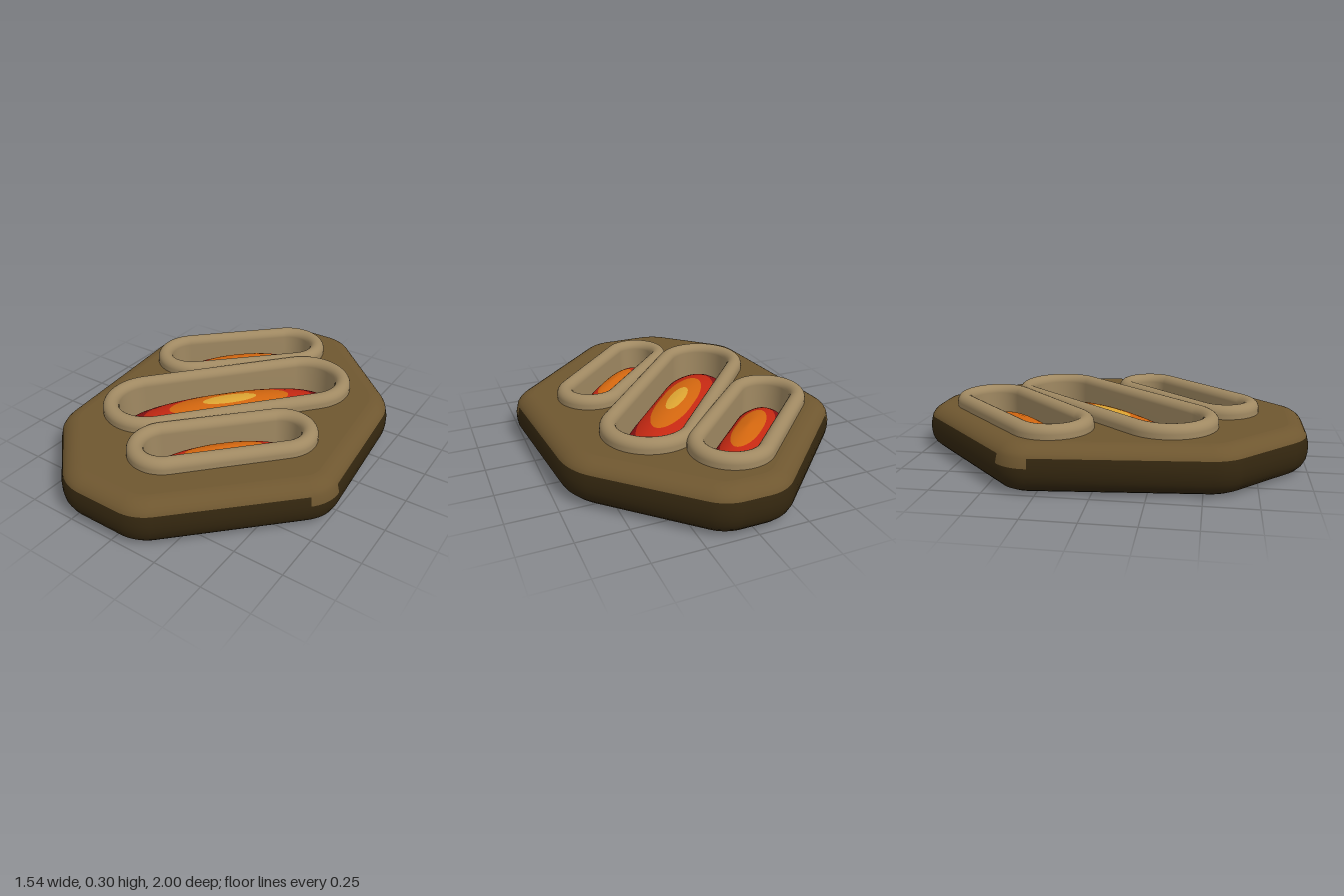
import * as THREE from 'three';

const mat = (name, color) => {
  const m = new THREE.MeshStandardMaterial({ color });
  m.name = name;
  return m;
};

// Rounded convex outline on the ground plane: arc centres, outward normals and radii
function roundedOutline(corners, segments) {
  const out = [];
  const n = corners.length;
  const normal = (a, b) => {
    const dx = b[0] - a[0], dz = b[1] - a[1], l = Math.hypot(dx, dz);
    return [dz / l, -dx / l];
  };
  corners.forEach((p, k) => {
    const n1 = normal(corners[(k + n - 1) % n], p);
    const n2 = normal(p, corners[(k + 1) % n]);
    const r = p[2];
    let a1 = Math.atan2(n1[1], n1[0]), a2 = Math.atan2(n2[1], n2[0]);
    if (a2 <= a1) a2 += Math.PI * 2;
    const s = n === 2 ? 0 : r / (1 + n1[0] * n2[0] + n1[1] * n2[1]);
    const cx = p[0] - (n1[0] + n2[0]) * s, cz = p[1] - (n1[1] + n2[1]) * s;
    for (let i = 0; i <= segments; i++) {
      const a = a1 + (a2 - a1) * i / segments;
      out.push({ cx, cz, nx: Math.cos(a), nz: Math.sin(a), r, corner: k, last: i === segments });
    }
  });
  return out;
}

// One ring of the outline, moved inward by d at height y
const ring = (outline, d, y) =>
  outline.map(o => [o.cx + o.nx * (o.r - d), y, o.cz + o.nz * (o.r - d)]);

// Skin closed rings; slot(i, j) picks the material of each face
function loft(name, rings, materials, slot = () => 0) {
  const n = rings[0].length;
  const buckets = materials.map(() => []);
  for (let i = 0; i < rings.length - 1; i++) {
    for (let j = 0; j < n; j++) {
      const k = (j + 1) % n;
      const a = i * n + j, b = i * n + k, c = b + n, d = a + n;
      buckets[slot(i, j)].push(a, d, c, a, c, b);
    }
  }
  const g = new THREE.BufferGeometry();
  g.setAttribute('position', new THREE.Float32BufferAttribute(rings.flat(2), 3));
  g.setIndex(buckets.flat());
  let start = 0;
  buckets.forEach((b, m) => {
    if (b.length) g.addGroup(start, b.length, m);
    start += b.length;
  });
  g.computeVertexNormals();
  const mesh = new THREE.Mesh(g, materials);
  mesh.name = name;
  return mesh;
}

// Flat cap from a ring, facing up or down, with optional holes
function cap(name, points, y, up, material, holes = []) {
  const to2 = pts => pts.map(p => new THREE.Vector2(p[0], up ? -p[2] : p[2]));
  const shape = new THREE.Shape(to2(points));
  holes.forEach(h => shape.holes.push(new THREE.Path(to2(h))));
  const mesh = new THREE.Mesh(new THREE.ShapeGeometry(shape), material);
  mesh.geometry.rotateX(up ? -Math.PI / 2 : Math.PI / 2);
  mesh.position.y = y;
  mesh.name = name;
  return mesh;
}

export function createModel() {
  const model = new THREE.Group();
  model.name = 'ventPlate';
  const brown = mat('brown', 0x6f5730);
  const dark = mat('darkBrown', 0x33260f);
  const tan = mat('tan', 0xa08962);
  const lava = [
    mat('darkRed', 0x4a0a0c), mat('crimson', 0x8a1213), mat('red', 0xc42812),
    mat('orange', 0xd2660f), mat('yellow', 0xdda532),
  ];

  // Plate: x, z, corner radius
  const outline = roundedOutline([
    [0.775, 0.37, 0.2], [0.14, 1, 0.23], [-0.29, 1, 0.25], [-0.68, 0.62, 0.24],
    [-0.78, -0.37, 0.2], [-0.14, -1, 0.22], [0.16, -1, 0.22], [0.7, -0.47, 0.33],
  ], 10);
  const R = 0.1, H = 0.235;
  const profile = [];
  for (const deg of [-90, -72, -54, -36, -18, 0]) {
    const a = deg * Math.PI / 180;
    profile.push([R - R * Math.cos(a), R + R * Math.sin(a)]);
  }
  for (const deg of [0, 27, 40, 52, 65, 78, 90]) {
    const a = deg * Math.PI / 180;
    profile.push([R - R * Math.cos(a), H - R + R * Math.sin(a)]);
  }
  // Dark below, brown above, the brown dipping at two opposite corners
  model.add(loft('plateSide', profile.map(([d, y]) => ring(outline, d, y)), [dark, brown], (i, j) => {
    const o = outline[j];
    const dip = i === 6 && o.corner % 4 === 0 && !o.last;
    return i > 6 || dip ? 1 : 0;
  }));

  // Vents: two end centres, inner and outer radius, colour limits from edge to middle
  const vents = [
    { name: 'backVent', a: [-0.04, -0.64], b: [-0.45, -0.235], rin: 0.125, rout: 0.206, bands: [0.93, 0.76, 0.52, 0] },
    { name: 'middleVent', a: [0.242, -0.332], b: [-0.321, 0.316], rin: 0.163, rout: 0.245, bands: [0.94, 0.8, 0.56, 0.25] },
    { name: 'frontVent', a: [0.383, 0.163], b: [-0.013, 0.579], rin: 0.1, rout: 0.183, bands: [0.93, 0.76, 0.5, 0] },
  ];
  const holes = [];
  for (const v of vents) {
    const group = new THREE.Group();
    group.name = v.name;
    const path = roundedOutline([[...v.a, 0], [...v.b, 0]], 24);
    holes.push(ring(path, -(v.rin + 0.01), 0));

    // Rounded rim running down into the slot wall
    const w = (v.rout - v.rin) / 2, mid = v.rin + w;
    const rim = [ring(path, -v.rout, 0.225)];
    for (let i = 0; i <= 12; i++) {
      const t = Math.PI * i / 12;
      rim.push(ring(path, -(mid + w * Math.cos(t)), 0.3 - w + w * Math.sin(t)));
    }
    rim.push(ring(path, -v.rin, 0.06));
    group.add(loft('rim', rim, [tan]));

    // Glowing dome, banded in colour from edge to middle
    const mx = (v.a[0] + v.b[0]) / 2, mz = (v.a[1] + v.b[1]) / 2;
    const dx = v.a[0] - mx, dz = v.a[1] - mz, half = Math.hypot(dx, dz);
    const ux = dx / half, uz = dz / half, A = half + v.rin;
    const edge = ring(path, -v.rin, 0);
    const fs = [...new Set([1, 0.985, 0.965, ...v.bands, 0.88, 0.68, 0.4, 0.12, 0])].sort((p, q) => q - p);
    const dome = fs.map(f => edge.map((p, j) => {
      const { nx, nz } = path[j];
      const c = (nx * ux + nz * uz) * A, s = (nz * ux - nx * uz) * v.rin;
      const ex = c * ux - s * uz, ez = c * uz + s * ux;
      const k = f ** 3;
      return [
        mx + f * (ex + (p[0] - mx - ex) * k),
        0.08 + 0.142 * Math.sqrt(1 - f * f),
        mz + f * (ez + (p[2] - mz - ez) * k),
      ];
    }));
    group.add(loft('lava', dome, lava, i => v.bands.filter(b => fs[i] <= b + 1e-6).length));
    model.add(group);
  }

  // Flat faces of the plate
  model.add(cap('plateTop', ring(outline, R, 0), H, true, brown, holes));
  model.add(cap('plateBottom', ring(outline, R, 0), 0, false, dark));
  return model;
}
